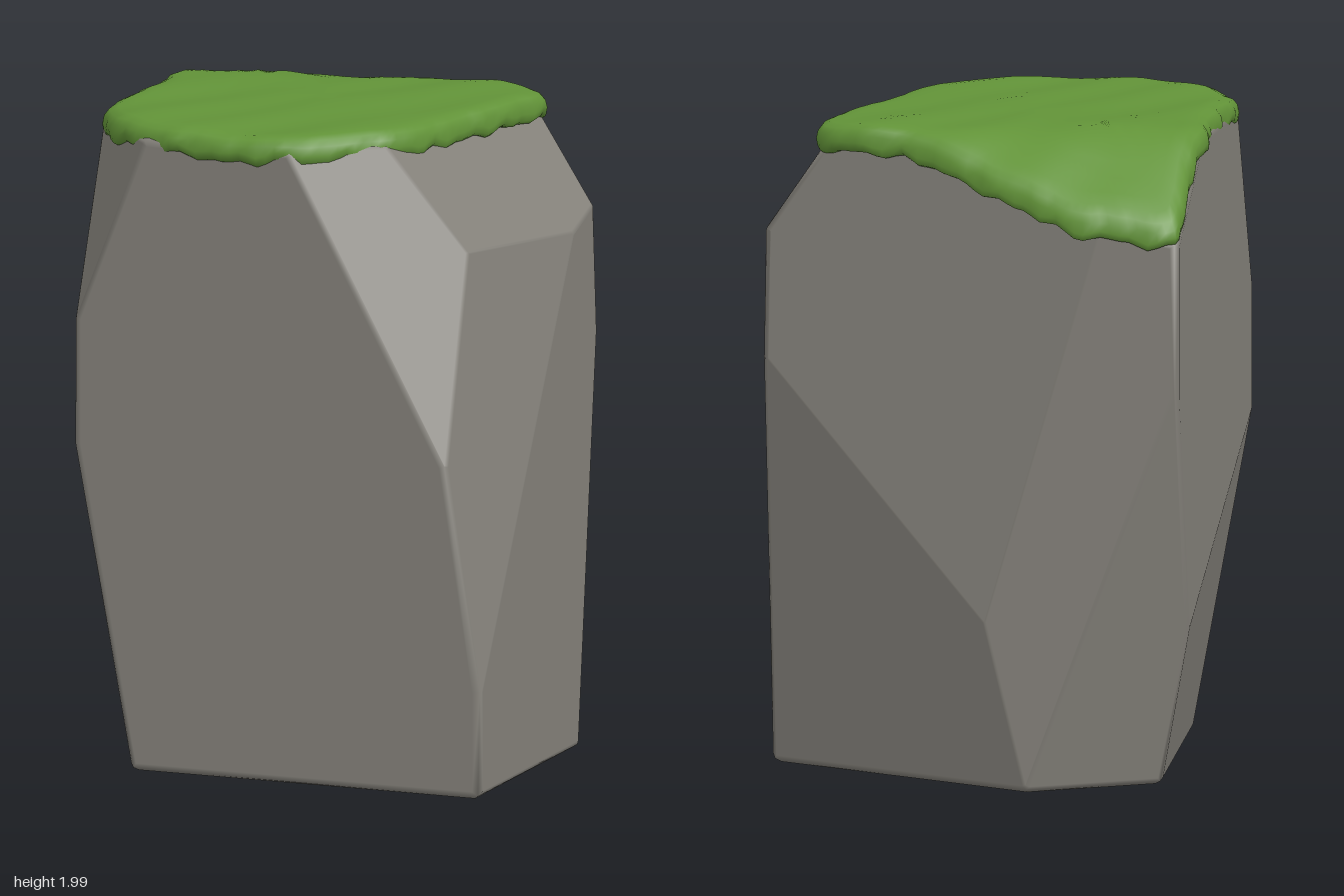
import * as THREE from 'three';
import { ConvexGeometry } from 'three/addons/geometries/ConvexGeometry.js';

// Cutting planes of the boulder: outward normal x, y, z and the limit of their dot product
const CUTS = [
  [1, 0, 0, 0.66], [-1, 0, 0, 0.655], [0, 0, 1, 0.605], [0, 0, -1, 0.61],
  [0, -1, 0, 0], [0, 1, 0, 1.945],
  [6.36, 1, 1.72, 5.53],         // upper right side
  [1.84, 1, 2.26, 3.368],        // front right shoulder
  [1.39, 1, 0.335, 2.46],        // top right bevel
  [0.482, -0.118, -1, 0.518],    // back right, lower
  [0.275, 0.08, -1, 0.633],      // back right, upper
  [-0.142, 1, -0.657, 2.174],    // top back bevel
  [-0.24, -0.089, -0.38, 0.277], // back left, lower
  [-1, -0.185, 0.0928, 0.526],   // left, lower
  [-1, 0.39, 0.955, 1.755],      // front left shoulder
];

// Convex solid from cutting planes, with softly rounded edges of radius r
function cutStone(cuts, r) {
  const planes = cuts.map(([x, y, z, d]) => {
    const n = new THREE.Vector3(x, y, z), len = n.length();
    return { n: n.divideScalar(len), d: d / len - r };
  });
  const points = [], normals = new Map();
  const key = (x, y, z) => [x, y, z].map((v) => v.toFixed(5)).join();
  const add = (corner, n) => {
    const p = corner.clone().addScaledVector(n, r);
    const k = key(p.x, p.y, p.z);
    if (normals.has(k)) return;
    normals.set(k, n);
    points.push(p);
  };
  for (let i = 0; i < planes.length; i++)
    for (let j = i + 1; j < planes.length; j++)
      for (let k = j + 1; k < planes.length; k++) {
        const [a, b, c] = [planes[i], planes[j], planes[k]];
        const bc = b.n.clone().cross(c.n), det = a.n.dot(bc);
        if (Math.abs(det) < 1e-4) continue;
        const corner = bc.multiplyScalar(a.d)
          .addScaledVector(c.n.clone().cross(a.n), b.d)
          .addScaledVector(a.n.clone().cross(b.n), c.d)
          .divideScalar(det);
        if (planes.some((p) => p.n.dot(corner) > p.d + 1e-6)) continue;
        for (const p of [a, b, c]) add(corner, p.n);
        add(corner, a.n.clone().add(b.n).add(c.n).normalize());
      }
  const geo = new ConvexGeometry(points);
  const pos = geo.attributes.position, nor = geo.attributes.normal;
  for (let i = 0; i < pos.count; i++) {
    const n = normals.get(key(pos.getX(i), pos.getY(i), pos.getZ(i)));
    if (n) nor.setXYZ(i, n.x, n.y, n.z);
  }
  return geo;
}

// Outline of the moss cap from above: x, z
const OUTLINE = [
  [-0.645, -0.6], [-0.5, -0.622], [-0.34, -0.622], [-0.14, -0.565], [0.02, -0.51],
  [0.18, -0.45], [0.4, -0.41], [0.495, -0.35], [0.48, -0.2], [0.425, 0], [0.37, 0.17],
  [0.33, 0.32], [0.22, 0.46], [0.05, 0.6], [-0.1, 0.62], [-0.27, 0.62], [-0.45, 0.575],
  [-0.6, 0.46], [-0.655, 0.36], [-0.655, 0.15], [-0.65, 0], [-0.665, -0.2], [-0.65, -0.4],
];

// Moss: rings from the tucked underside, round the rim, to the middle of the top
function mossCap() {
  const N = 144, cx = -0.1, cz = -0.02;
  const curve = new THREE.CatmullRomCurve3(
    OUTLINE.map(([x, z]) => new THREE.Vector3(x, 0, z)), true, 'centripetal');
  const rim = curve.getSpacedPoints(N).slice(0, N);
  // ring scale and drop below the top surface
  const rings = [
    [0.9, 0.085], [0.975, 0.084], [0.995, 0.075], [1, 0.055], [0.992, 0.03], [0.97, 0.012],
    [0.93, 0.002], [0.86, 0], [0.77, 0], [0.67, 0], [0.56, 0], [0.44, 0], [0.3, 0], [0.15, 0],
  ];
  const top = (x, z) => {
    const back = 2.24 + 0.142 * x + 0.657 * z, gap = back - 1.982;
    const soft = 0.5 * (1.982 + back - Math.sqrt(gap * gap + 0.0008));
    return soft + 0.005 * Math.sin(9 * x + 2) * Math.sin(8 * z + 1) + 0.003 * Math.sin(21 * x + 13 * z);
  };
  const pos = [], idx = [];
  rings.forEach(([s, drop]) => rim.forEach((p, i) => {
    const a = (i / N) * Math.PI * 2;
    const ragged = Math.sin(17 * a) + 0.7 * Math.sin(29 * a + 1) + 0.6 * Math.sin(47 * a + 2);
    const edge = THREE.MathUtils.smoothstep(s, 0.8, 1);
    const k = s * (1 + 0.005 * ragged * edge);
    const x = cx + (p.x - cx) * k, z = cz + (p.z - cz) * k;
    const sag = drop > 0.05 ? 0.006 * Math.sin(23 * a + 1) + 0.005 * Math.sin(37 * a) : 0;
    pos.push(x, top(x, z) - drop + sag, z);
  }));
  pos.push(cx, top(cx, cz), cz);
  const last = rings.length - 1, centre = rings.length * N;
  for (let i = 0; i < N; i++) {
    const j = (i + 1) % N;
    for (let r = 0; r < last; r++) {
      const a = r * N + i, b = r * N + j, c = a + N, d = b + N;
      idx.push(a, c, b, b, c, d);
    }
    idx.push(last * N + i, centre, last * N + j);
  }
  const geo = new THREE.BufferGeometry();
  geo.setAttribute('position', new THREE.Float32BufferAttribute(pos, 3));
  geo.setIndex(idx);
  geo.computeVertexNormals();
  // make the cap face upwards whichever way the outline runs
  if (geo.attributes.normal.getY(centre) < 0) {
    geo.setIndex(idx.reverse());
    geo.computeVertexNormals();
  }
  return geo;
}

export function createModel() {
  const stone = new THREE.MeshStandardMaterial({ color: 0x85827b });
  stone.name = 'stone grey';
  const green = new THREE.MeshStandardMaterial({ color: 0x629338, side: THREE.DoubleSide });
  green.name = 'moss green';

  const group = new THREE.Group();
  group.name = 'mossyBoulder';
  const boulder = new THREE.Mesh(cutStone(CUTS, 0.025), stone);
  boulder.name = 'boulder';
  const moss = new THREE.Mesh(mossCap(), green);
  moss.name = 'mossCap';
  group.add(boulder, moss);
  return group;
}
